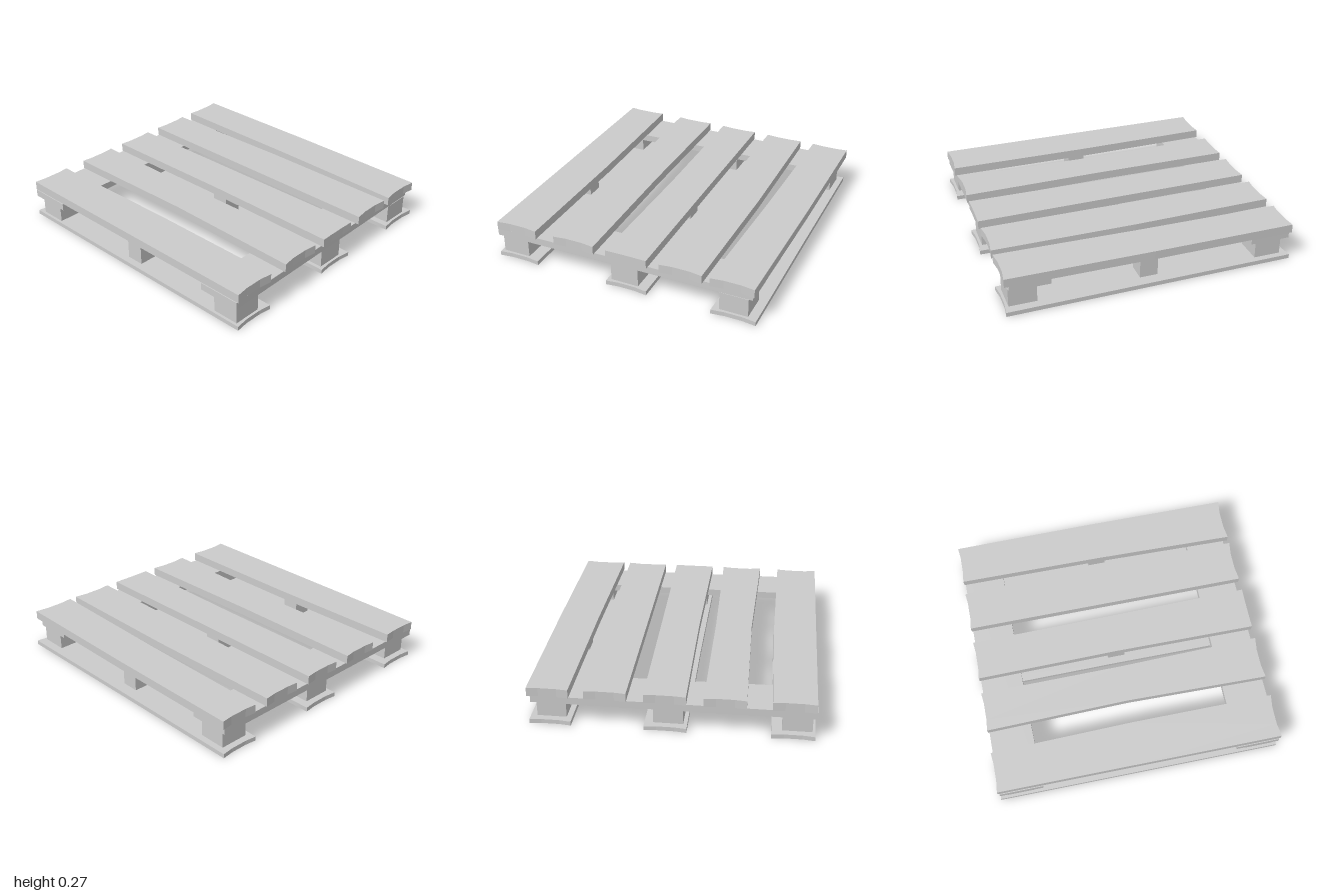
import * as THREE from 'three';

const material = new THREE.MeshStandardMaterial({ color: 0xcccccc, flatShading: true });

// Slab between two heights, cut from an outline of [x, z] points
function slab(name, outline, y0, y1) {
  const shape = new THREE.Shape(outline.map(([x, z]) => new THREE.Vector2(x, z)));
  const geometry = new THREE.ExtrudeGeometry(shape, { depth: y1 - y0, bevelEnabled: false });
  geometry.rotateX(Math.PI / 2).translate(0, y1, 0);
  const mesh = new THREE.Mesh(geometry, material);
  mesh.name = name;
  return mesh;
}

// Rough-sawn board: back and front edges given as z at x = -1, 0, 1; ends slightly hollow
function board(name, back, front, y0, y1, hollowLeft = 0.01, hollowRight = 0.012) {
  const midL = (back[0] + front[0]) / 2, midR = (back[2] + front[2]) / 2;
  return slab(name, [
    [-1, back[0]], [0, back[1]], [1, back[2]],
    [1 - hollowRight, midR - 0.06], [1 - hollowRight, midR + 0.06],
    [1, front[2]], [0, front[1]], [-1, front[0]],
    [-1 + hollowLeft, midL + 0.06], [-1 + hollowLeft, midL - 0.06],
  ], y0, y1);
}

function block(name, x0, x1, y0, y1, z0, z1) {
  const mesh = new THREE.Mesh(new THREE.BoxGeometry(x1 - x0, y1 - y0, z1 - z0), material);
  mesh.position.set((x0 + x1) / 2, (y0 + y1) / 2, (z0 + z1) / 2);
  mesh.name = name;
  return mesh;
}

export function createModel() {
  const pallet = new THREE.Group();
  pallet.name = 'pallet';

  // Five deck boards on top
  const deck = [
    [[-0.93, -0.935, -0.93], [-0.657, -0.65, -0.63]],
    [[-0.555, -0.578, -0.578], [-0.28, -0.28, -0.28]],
    [[-0.168, -0.178, -0.19], [0.107, 0.097, 0.105]],
    [[0.22, 0.217, 0.197], [0.495, 0.475, 0.495]],
    [[0.657, 0.636, 0.636], [0.937, 0.937, 0.937]],
  ];
  deck.forEach(([back, front], i) =>
    pallet.add(board(`deckBoard${i + 1}`, back, front, 0.21, 0.27, 0.008, i === 2 ? 0.002 : 0.012)));

  // Three thin boards on the ground
  const base = [
    [[-0.925, -0.934, -0.946], [-0.65, -0.645, -0.64]],
    [[-0.17, -0.178, -0.185], [0.11, 0.105, 0.11]],
    [[0.655, 0.638, 0.638], [0.937, 0.937, 0.937]],
  ];
  base.forEach(([back, front], i) =>
    pallet.add(board(`baseBoard${i + 1}`, back, front, 0, 0.03)));

  // Cross boards under the deck, running front to back
  pallet.add(slab('rightCrossBoard',
    [[-0.99, -0.91], [-0.71, -0.91], [-0.703, 0], [-0.688, 0.943], [-0.99, 0.943]], 0.16, 0.21));
  pallet.add(slab('leftCrossBoard',
    [[0.69, -0.91], [0.965, -0.91], [0.977, 0], [0.99, 0.943], [0.69, 0.943]], 0.16, 0.21));

  // Spacer blocks: wide ones at the sides, narrow taller ones in the middle
  for (const z of [-0.785, -0.015, 0.82]) {
    pallet.add(block('rightBlock', -0.945, -0.757, 0.03, 0.16, z - 0.098, z + 0.098));
    pallet.add(block('leftBlock', 0.78, 0.97, 0.03, 0.16, z - 0.098, z + 0.098));
    pallet.add(block('middleBlock', -0.055, 0.07, 0.03, 0.21, z - 0.068, z + 0.068));
  }
  return pallet;
}
